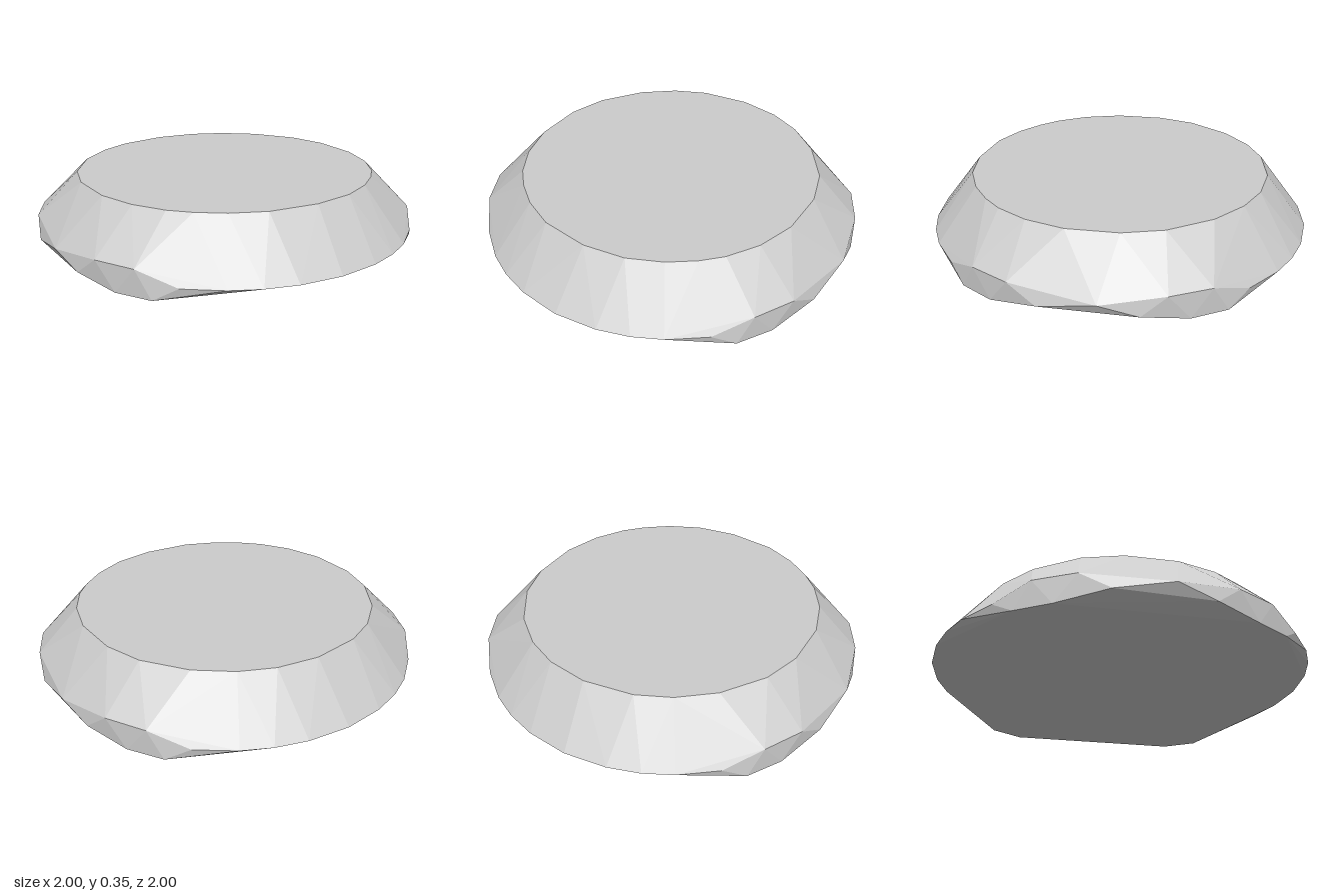
import * as THREE from 'three';
import { ConvexGeometry } from 'three/addons/geometries/ConvexGeometry.js';

export function createModel() {
  const group = new THREE.Group();
  group.name = 'facetedDisc';
  const stone = new THREE.MeshStandardMaterial({ color: 0xcccccc });
  stone.name = 'light grey';

  const points = [];
  const add = (x, y, z) => points.push(new THREE.Vector3(x, y, z));
  const mirrorX = (x, y, z) => { add(x, y, z); add(-x, y, z); };
  const mirrorXZ = (x, y, z) => { mirrorX(x, y, z); mirrorX(x, y, -z); };

  // Flat top outline, with an extra corner on each front side
  const top = 0.35;
  add(0.02, top, 0.782);
  add(0.02, top, -0.785);
  for (const [x, z] of [[0.235, 0.75], [0.405, 0.673], [0.715, 0.33], [0.775, 0.13]]) mirrorXZ(x, top, z);
  mirrorX(0.53, top, 0.58);
  mirrorX(0.62, top, 0.487);
  mirrorX(0.57, top, -0.54);

  // Wide rim: low at front and back, raised at the four corners
  add(0, 0.07, 1);
  add(0, 0.07, -1);
  for (const [x, y, z] of [
    [0.22, 0.07, 0.975], [0.38, 0.07, 0.925], [0.52, 0.07, 0.854], [0.69, 0.07, 0.724],
    [0.826, 0.135, 0.563], [0.929, 0.135, 0.37],
  ]) mirrorXZ(x, y, z);

  // Uneven side rim, turned half a circle for the other side
  for (const s of [1, -1]) {
    add(s, 0.1, -0.06 * s);
    add(0.974 * s, 0.05, 0.225 * s);
    add(0.968 * s, 0.04, -0.25 * s);
  }

  // Underside corners
  mirrorXZ(0.88, 0, 0.47);
  mirrorXZ(0.78, 0, 0.635);

  const disc = new THREE.Mesh(new ConvexGeometry(points), stone);
  disc.name = 'discBody';
  group.add(disc);
  return group;
}
